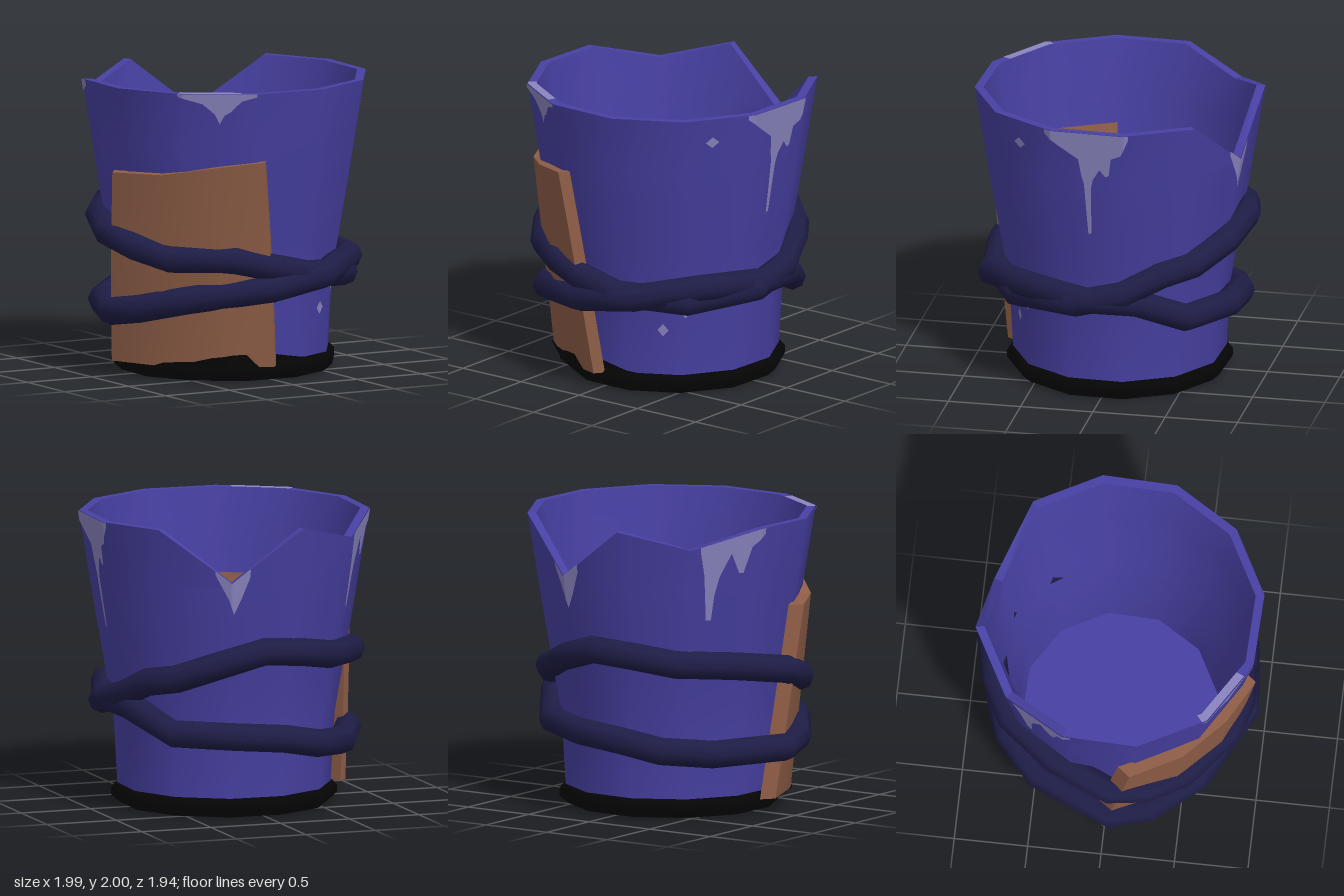
import * as THREE from 'three';

const mat = (name, color) => {
  const m = new THREE.MeshStandardMaterial({ color });
  m.name = name;
  return m;
};
const V = (x, y, z) => new THREE.Vector3(x, y, z);
const rad = THREE.MathUtils.degToRad;
const lerp = THREE.MathUtils.lerp;

// Point at an angle (from +x towards +z) around the cup's axis
const polar = (deg, r, y) => V(0.03 + r * Math.cos(rad(deg)), y, 0.015 + r * Math.sin(rad(deg)));

// Piecewise linear lookup in [key, value] pairs
function lookup(table, key) {
  let i = 0;
  while (i < table.length - 2 && key > table[i + 1][0]) i++;
  const [a, va] = table[i], [b, vb] = table[i + 1];
  return lerp(va, vb, (key - a) / (b - a));
}

// Skin through rows of points; closeRow joins row ends, closeCol joins last row to first
function loft(rows, { closeRow = false, closeCol = false, flat = false } = {}) {
  const n = rows[0].length, m = rows.length, index = [];
  for (let i = 0; i < (closeCol ? m : m - 1); i++) {
    for (let j = 0; j < (closeRow ? n : n - 1); j++) {
      const i2 = (i + 1) % m, j2 = (j + 1) % n;
      const a = i * n + j, b = i * n + j2, c = i2 * n + j, d = i2 * n + j2;
      index.push(a, c, b, b, c, d);
    }
  }
  let g = new THREE.BufferGeometry().setFromPoints(rows.flat());
  g.setIndex(index);
  if (flat) g = g.toNonIndexed();
  g.computeVertexNormals();
  return g;
}

// Twelve-sided cup wall: radius by height and a broken rim
const SIDES = 12, START = 17, FLOOR = 0.15, THICK = 0.06;
const profile = [[0.1, 0.722], [0.6, 0.75], [0.95, 0.81], [1.35, 0.88], [1.6, 0.92], [2, 0.985]];
const rimHeights = [2, 2, 2, 2, 2, 2, 2, 1.88, 2, 1.64, 2, 2];
const corners = rimHeights.map((_, k) => START + 30 * k);
const radius = (y) => lookup(profile, y);

function wall(deg, y, offset = 0) {
  const u = (deg - START) / 30, f = u - Math.floor(u);
  const r = (radius(y) + offset) * Math.cos(rad(15)) / Math.cos(rad((f - 0.5) * 30));
  return polar(deg, r, y);
}
function rimAt(deg) {
  const u = (deg - START) / 30, k = Math.floor(u);
  const t = 0.5 + Math.tan(rad((u - k - 0.5) * 30)) / (2 * Math.tan(rad(15)));
  const h = (i) => rimHeights[((i % SIDES) + SIDES) % SIDES];
  return lerp(h(k), h(k + 1), t);
}

// Thin paint on the wall between a lower edge of [angle, y] points and an upper edge
function wallPaint(edge, top) {
  const from = edge[0][0], to = edge[edge.length - 1][0];
  const steps = Math.ceil((to - from) / 0.5);
  const angles = Array.from({ length: steps + 1 }, (_, i) => lerp(from, to, i / steps));
  return loft([0, 0.2, 0.4, 0.6, 0.8, 1].map((t) => angles.map((a) =>
    wall(a, lerp(lookup(edge, a), top(a), t), 0.007))));
}

// Plank wrapped round the cup: four columns, each with bottom and top angle, radius, height and depth
const plankCols = [
  { a: [181, 170], r: [0.87, 0.99], top: 1.42, depth: 0.11 },
  { a: [150, 147], r: [0.81, 0.945], top: 1.43, depth: 0.09 },
  { a: [120, 124], r: [0.79, 0.945], top: 1.49, depth: 0.08 },
  { a: [94.5, 104], r: [0.79, 0.98], top: 1.53, depth: 0.08 },
];
const PLANK_BASE = 0.1;
const plankInward = V(0.61, 0, -0.79);
function plankColumn(i, t, offset = 0) {
  const c = plankCols[i];
  return polar(lerp(...c.a, t), lerp(...c.r, t) + offset, lerp(PLANK_BASE, c.top, t));
}
function plankFace(s, y, offset) {
  const i = Math.min(Math.floor(s), 2);
  const at = (k) => plankColumn(k, (y - PLANK_BASE) / (plankCols[k].top - PLANK_BASE), offset);
  return at(i).lerp(at(i + 1), s - i);
}

// Round cord following a closed loop of [angle, radius, y] points
function cord(path, thickness) {
  const points = path.map(([a, r, y]) => polar(a, r, y)), n = points.length;
  const rows = points.map((p, i) => {
    const along = points[(i + 1) % n].clone().sub(points[(i + n - 1) % n]).normalize();
    const out = V(0, 1, 0).cross(along).normalize();
    const up = along.clone().cross(out);
    return Array.from({ length: 8 }, (_, j) => p.clone()
      .addScaledVector(out, thickness * Math.cos(j * Math.PI / 4))
      .addScaledVector(up, -thickness * Math.sin(j * Math.PI / 4)));
  });
  return loft(rows, { closeRow: true, closeCol: true });
}

export function createModel() {
  const blue = mat('cup blue', 0x4740a2);
  const pale = mat('pale drip', 0x8a85c0);
  const brown = mat('plank brown', 0x8f5e47);
  const navy = mat('cord navy', 0x1e1d46);
  const black = mat('tar black', 0x050505);
  const model = new THREE.Group();
  const group = (name) => {
    const g = new THREE.Group();
    g.name = name;
    model.add(g);
    return g;
  };
  const add = (parent, name, geometry, material) => {
    const mesh = new THREE.Mesh(geometry, material);
    mesh.name = name;
    parent.add(mesh);
  };
  const ring = (r, y) => corners.map((a) => polar(a, r, y));
  const closed = { closeRow: true };

  // Cup: outer wall, inner wall, rim and floor
  const cup = group('cup');
  const rim = (offset) => corners.map((a, k) => wall(a, rimHeights[k], offset));
  const levels = profile.slice(0, -1).map((p) => p[0]);
  const outer = levels.map((y) => corners.map((a) => wall(a, y)));
  const inner = [FLOOR, ...levels.slice(1)].map((y) => corners.map((a) => wall(a, y, -THICK)));
  add(cup, 'outerWall', loft([...outer, rim(0)], closed), blue);
  add(cup, 'innerWall', loft([...inner, rim(-THICK)].reverse(), closed), blue);
  add(cup, 'rim', loft([rim(0), rim(-THICK)], { closeRow: true, flat: true }), blue);
  add(cup, 'floor', loft([inner[0], ring(0, FLOOR)], closed), blue);

  // Tarred base with bevelled edge
  const base = group('base');
  const basePro = [[0.71, 0], [0.765, 0.05], [0.765, 0.1], [0.74, 0.13], [0.68, 0.13]];
  add(base, 'baseSide', loft(basePro.map(([r, y]) => ring(r, y)), closed), black);
  add(base, 'baseBottom', loft([ring(0, 0), ring(0.71, 0)], closed), black);
  add(base, 'wallTar', wallPaint([[70, 0.12], [94, 0.12]], (a) => lerp(0.13, 0.18, (a - 70) / 24)), black);

  // Bent plank leaning on the front right of the cup, smooth in front and crisp at the edges
  const plank = group('plank');
  const order = [3, 2, 1, 0];
  const front = (t) => order.map((i) => plankColumn(i, t));
  const back = (t) => order.map((i) => plankColumn(i, t).addScaledVector(plankInward, plankCols[i].depth));
  const heights = [0, 0.33, 0.67, 1];
  add(plank, 'plankFront', loft(heights.map(front)), brown);
  add(plank, 'plankBack', loft(heights.map((t) => {
    const f = front(t);
    return [f[3], ...back(t).reverse(), f[0]];
  }), { flat: true }), brown);
  add(plank, 'plankTop', loft([front(1), back(1)], { flat: true }), brown);
  add(plank, 'plankBottom', loft([back(0), front(0)], { flat: true }), brown);
  const inside = [1.43, 0.95, 0.6, FLOOR].map((y) => [107, 137, 167].map((a) => wall(a, y, -THICK - 0.012)));
  add(plank, 'plankInside', loft(inside), brown);

  // Tar smeared on the foot of the plank and on the floor behind it
  const smear = [[2.7, 0.1], [2.55, 0.15], [2.45, 0.19], [2.2, 0.19], [2, 0.18], [1.8, 0.17],
    [1.5, 0.14], [1, 0.13], [0.8, 0.1]];
  add(plank, 'plankTar', loft([
    smear.map(([s]) => plankFace(s, PLANK_BASE, 0.008)),
    smear.map(([s, y]) => plankFace(s, y, 0.008)),
  ]), black);
  const tarEdge = [[99, 0.65], [101, 0.62], [107, 0.63], [115, 0.61], [124, 0.61], [137, 0.585],
    [150, 0.6], [160, 0.6], [167, 0.61], [173, 0.6]];
  add(plank, 'floorTar', loft([
    tarEdge.map(([a]) => wall(a, FLOOR + 0.006, -THICK)),
    tarEdge.map(([a, r]) => polar(a, r, FLOOR + 0.006)),
  ]), black);

  // Two crossing cords
  const cords = group('cords');
  add(cords, 'upperCord', cord([
    [10, 0.84, 0.72], [45, 0.84, 0.68], [78, 0.84, 0.72], [98, 0.85, 0.79], [115, 0.86, 0.85],
    [145, 0.87, 0.85], [163, 0.91, 0.92], [178, 0.93, 0.99], [205, 0.85, 1.05], [233, 0.86, 1.08],
    [252, 0.86, 1.13], [272, 0.885, 1.16], [292, 0.865, 1.07], [313, 0.84, 0.96], [329, 0.83, 0.92],
    [347, 0.83, 0.8],
  ], 0.095), navy);
  add(cords, 'lowerCord', cord([
    [5, 0.835, 0.75], [38, 0.85, 0.78], [70, 0.88, 0.71], [98, 0.88, 0.65], [137, 0.855, 0.57],
    [161, 0.89, 0.49], [177, 0.91, 0.45], [215, 0.83, 0.45], [240, 0.83, 0.48], [260, 0.82, 0.54],
    [285, 0.82, 0.57], [315, 0.815, 0.58], [340, 0.82, 0.73],
  ], 0.095), navy);

  // Pale drips running down from the rim: [angle, lower end]
  const drips = group('drips');
  const dripEdges = {
    frontDrip: [[107, 1.98], [113, 1.95], [117, 1.88], [120, 1.85], [122, 1.79], [124, 1.86],
      [129, 1.93], [139, 1.98]],
    sideDrip: [[-15, 1.97], [-12, 1.85], [-8, 1.82], [-7, 1.69], [-5.5, 1.68], [-3, 1.73], [0, 1.65],
      [1, 1.58], [1.4, 1.24], [3.2, 1.23], [3.8, 1.6], [5, 1.68], [6, 1.8], [13, 1.88], [20, 1.97]],
    notchDrip: [[279, 1.68], [283, 1.52], [286, 1.42], [288, 1.52], [294, 1.7]],
    backDrip: [[194, 1.96], [200, 1.88], [203, 1.7], [205, 1.7], [209, 1.84], [214, 1.68], [216, 1.55],
      [217, 1.38], [219.5, 1.38], [221, 1.7], [223, 1.87]],
  };
  for (const [name, edge] of Object.entries(dripEdges)) add(drips, name, wallPaint(edge, rimAt), pale);
  const rimPaint = [113, 121, 129, 137, 139];
  add(drips, 'rimDrip', loft([0, -THICK].map((o) => rimPaint.map((a) => wall(a, 2, o).setY(2.003)))), pale);

  // Small splashes lower on the wall: [middle angle, middle y, half height]
  [[45, 0.58, 0.04], [57, 0.45, 0.045], [35, 1.83, 0.04]].forEach(([a, y, h], i) => {
    const splash = wallPaint([[a - 3, y], [a, y - h], [a + 3, y]], (b) => y + h * (1 - Math.abs(b - a) / 3));
    add(drips, `splash${i + 1}`, splash, pale);
  });
  return model;
}
